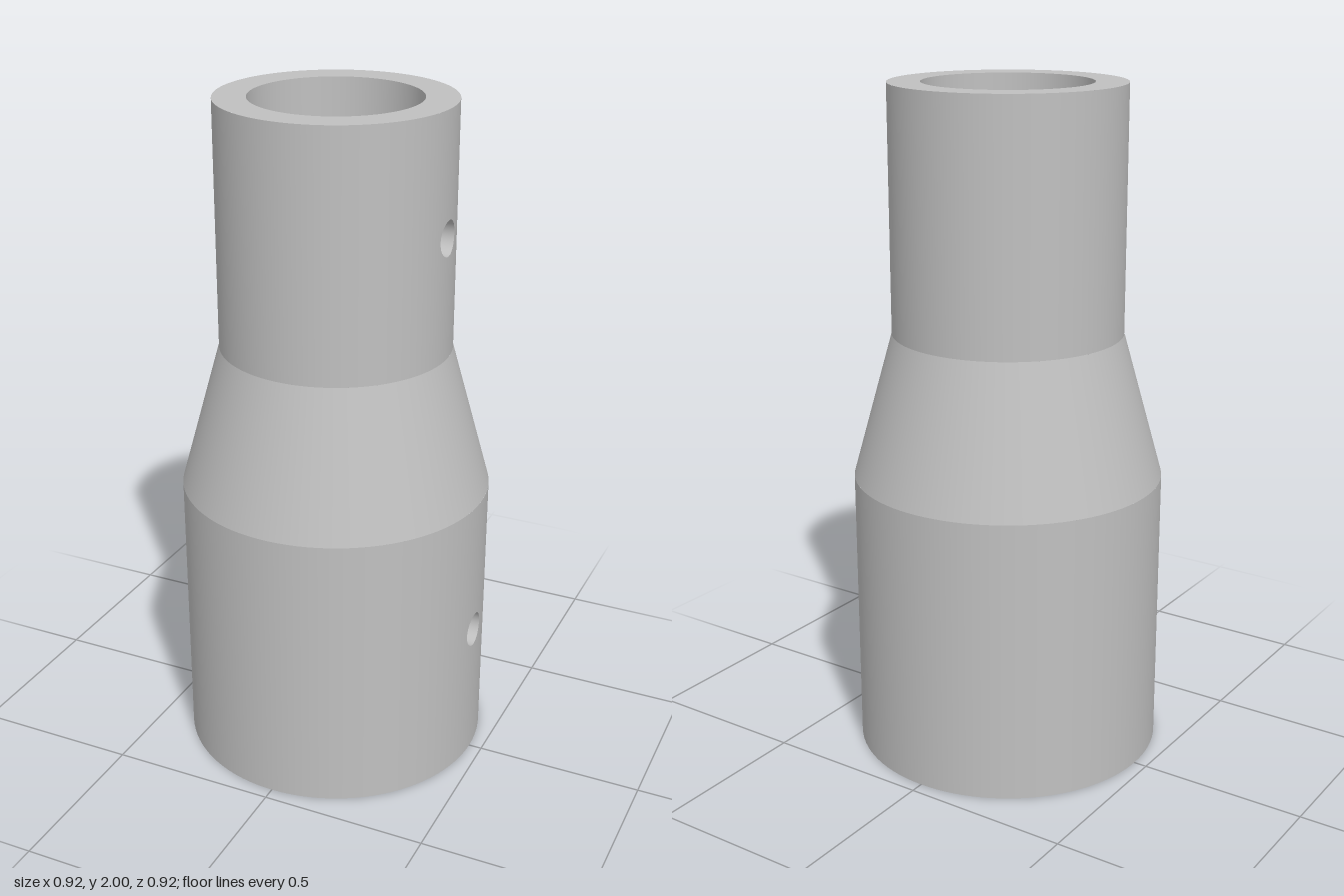
import * as THREE from 'three';

const OUTER = [0.46, 0.34];    // outside radii: lower, upper
const INNER = [0.366, 0.245];  // bore radii: lower, upper
const LEVELS = [0, 0.85, 1.28, 2];
const HOLE_R = 0.052;
const STRIP = 0.1;             // half width of the strip that carries a hole
const SEG = 96;

// Grid surface; point(a, t) and normal(p, a) give each vertex, a runs once around
function sweep(nt, point, normal) {
  const na = 64, pos = [], nor = [], idx = [];
  for (let i = 0; i <= na; i++) {
    for (let j = 0; j <= nt; j++) {
      const a = (i / na) * Math.PI * 2;
      const p = point(a, j / nt);
      pos.push(...p);
      nor.push(...normal(p, a));
      if (i < na && j < nt) {
        const k = i * (nt + 1) + j, n = k + nt + 1;
        idx.push(k, k + 1, n, n, k + 1, n + 1);
      }
    }
  }
  const g = new THREE.BufferGeometry();
  g.setAttribute('position', new THREE.Float32BufferAttribute(pos, 3));
  g.setAttribute('normal', new THREE.Float32BufferAttribute(nor, 3));
  g.setIndex(idx);
  return g;
}

// Lathed band from (r0, y0) to (r1, y1), leaving a gap of half angle `gap` at +x
function band(r0, y0, r1, y1, gap = 0) {
  const pts = [new THREE.Vector2(r0, y0), new THREE.Vector2(r1, y1)];
  return new THREE.LatheGeometry(pts, SEG, Math.PI / 2 + gap, Math.PI * 2 - 2 * gap);
}

// Curved strip at +x, from a round hole out to its rectangular border
function holedStrip(r, y0, y1, holeY, inward) {
  const s = inward ? -1 : 1;
  return sweep(8, (a, t) => {
    const f = inward ? 1 - t : t;
    const c = Math.cos(a), n = Math.sin(a), m = Math.max(Math.abs(c), Math.abs(n));
    const edgeY = holeY + (c / m) * (c > 0 ? y1 - holeY : holeY - y0);
    const y = THREE.MathUtils.lerp(holeY + HOLE_R * c, edgeY, f);
    const z = THREE.MathUtils.lerp(HOLE_R * n, (STRIP * n) / m, f);
    return [Math.sqrt(r * r - z * z), y, z];
  }, (p) => [(s * p[0]) / r, 0, (s * p[2]) / r]);
}

// Wall of the round hole between the bore and the outside
function holeWall(ri, ro, holeY) {
  return sweep(1, (a, t) => {
    const z = HOLE_R * Math.sin(a), r = t ? ro : ri;
    return [Math.sqrt(r * r - z * z), holeY + HOLE_R * Math.cos(a), z];
  }, (p, a) => [0, -Math.cos(a), -Math.sin(a)]);
}

export function createModel() {
  const group = new THREE.Group();
  group.name = 'reducingSleeve';
  const grey = new THREE.MeshStandardMaterial({ color: 0xc0c0c0 });
  grey.name = 'lightGrey';
  const add = (name, geometry) => {
    const mesh = new THREE.Mesh(geometry, grey);
    mesh.name = name;
    group.add(mesh);
  };

  // Straight lower and upper sockets, each with one screw hole
  const sockets = [
    { name: 'lower', y0: LEVELS[0], y1: LEVELS[1], holeY: 0.425 },
    { name: 'upper', y0: LEVELS[2], y1: LEVELS[3], holeY: 1.64 },
  ];
  sockets.forEach(({ name, y0, y1, holeY }, i) => {
    const ro = OUTER[i], ri = INNER[i];
    add(name + 'OuterWall', band(ro, y0, ro, y1, Math.asin(STRIP / ro)));
    add(name + 'OuterHoleStrip', holedStrip(ro, y0, y1, holeY, false));
    add(name + 'Bore', band(ri, y1, ri, y0, Math.asin(STRIP / ri)));
    add(name + 'BoreHoleStrip', holedStrip(ri, y0, y1, holeY, true));
    add(name + 'ScrewHole', holeWall(ri, ro, holeY));
  });

  // Tapered shoulder, outside and inside
  add('outerTaper', band(OUTER[0], LEVELS[1], OUTER[1], LEVELS[2]));
  add('boreTaper', band(INNER[1], LEVELS[2], INNER[0], LEVELS[1]));

  // Flat end rims
  add('bottomRim', band(INNER[0], 0, OUTER[0], 0));
  add('topRim', band(OUTER[1], 2, INNER[1], 2));
  return group;
}
